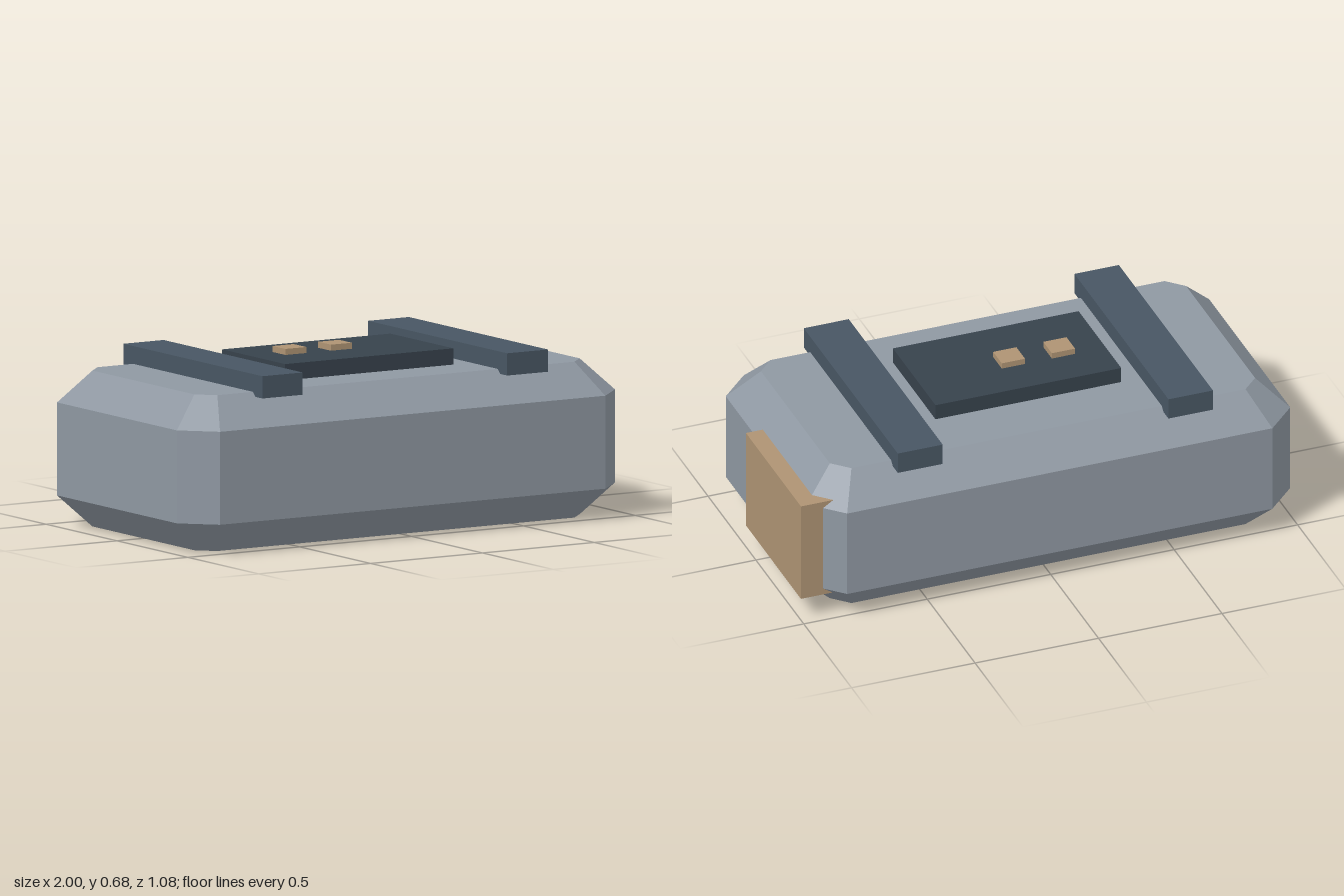
import * as THREE from 'three';
import { ConvexGeometry } from 'three/addons/geometries/ConvexGeometry.js';

const material = (color) => new THREE.MeshStandardMaterial({ color, flatShading: true });

// Corners of a rectangle with cut corners, at height y, centred on x = cx
function ring(cx, y, halfX, halfZ, cut) {
  const points = [];
  for (const sx of [-1, 1]) for (const sz of [-1, 1]) {
    points.push(new THREE.Vector3(cx + sx * halfX, y, sz * (halfZ - cut)));
    points.push(new THREE.Vector3(cx + sx * (halfX - cut), y, sz * halfZ));
  }
  return points;
}

export function createModel() {
  const model = new THREE.Group();
  const shell = material(0x8f98a2);
  const strap = material(0x485663);
  const dark = material(0x37424c);
  const tan = material(0xae9373);

  // Box given by its minimum and maximum on each axis
  function box(name, mat, [x0, x1], [y0, y1], [z0, z1]) {
    const mesh = new THREE.Mesh(new THREE.BoxGeometry(x1 - x0, y1 - y0, z1 - z0), mat);
    mesh.position.set((x0 + x1) / 2, (y0 + y1) / 2, (z0 + z1) / 2);
    mesh.name = name;
    model.add(mesh);
  }

  // Bevelled main case
  const body = new THREE.Mesh(new ConvexGeometry([
    ...ring(-0.021, 0, 0.861, 0.423, 0.063),
    ...ring(-0.021, 0.12, 0.979, 0.541, 0.118),
    ...ring(-0.021, 0.475, 0.979, 0.541, 0.118),
    ...ring(-0.021, 0.595, 0.861, 0.423, 0.063),
  ]), shell);
  body.name = 'body';
  model.add(body);

  // Straps across the top
  box('rightStrap', strap, [-0.66, -0.48], [0.578, 0.663], [-0.492, 0.49]);
  box('leftStrap', strap, [0.434, 0.616], [0.578, 0.663], [-0.492, 0.49]);

  // Control panel with two buttons
  box('topPanel', dark, [-0.4, 0.352], [0.59, 0.657], [-0.205, 0.24]);
  for (const x of [-0.228, -0.025]) {
    box('button', tan, [x - 0.047, x + 0.047], [0.65, 0.68], [-0.046, 0.044]);
  }

  // Block on the left end
  box('sidePouch', tan, [0.86, 1], [0.094, 0.502], [-0.471, 0.104]);

  return model;
}
